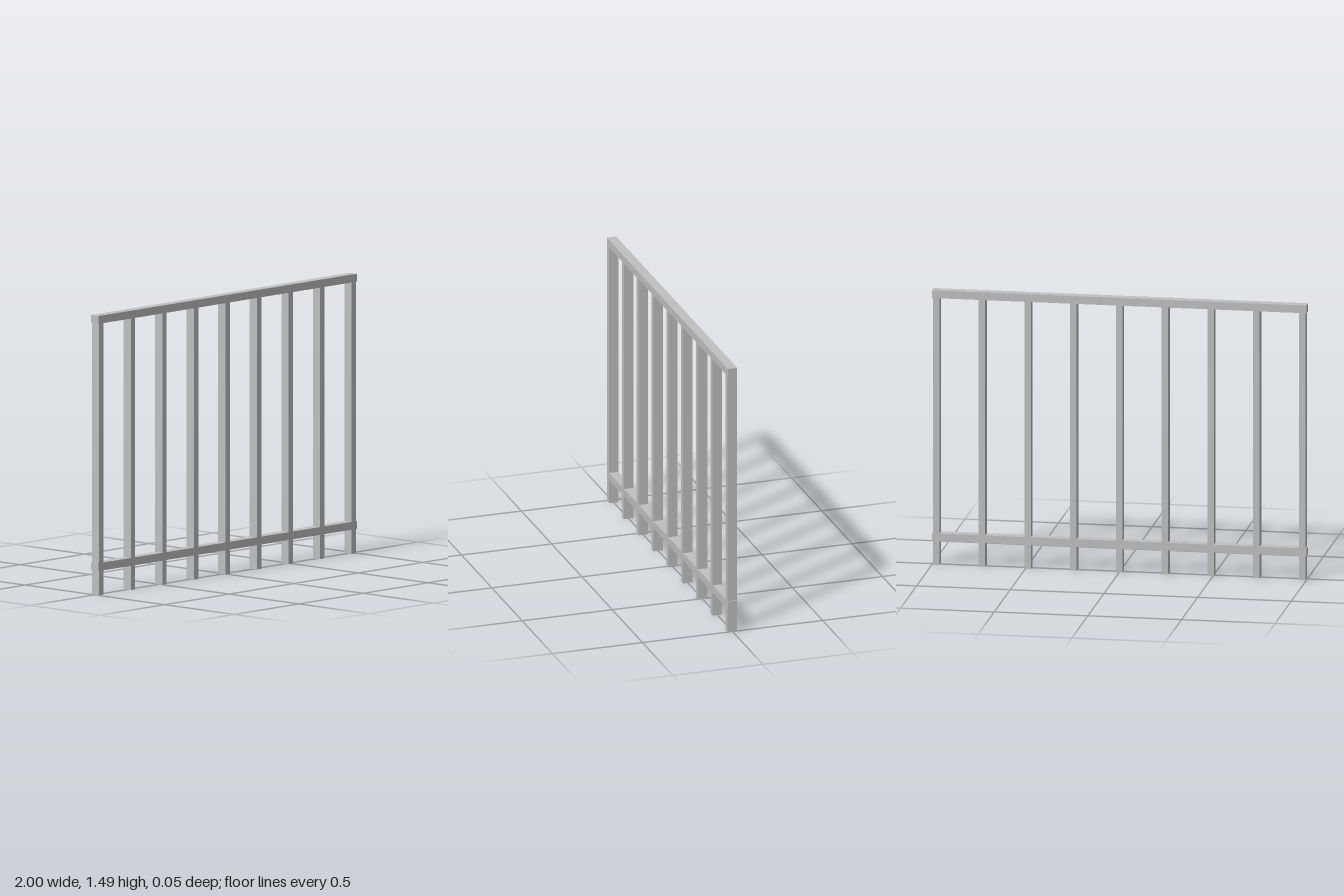
import * as THREE from 'three';

export function createModel() {
  const group = new THREE.Group();
  group.name = 'railing';
  const greyMetal = new THREE.MeshStandardMaterial({ color: 0xc0c0c0 });
  greyMetal.name = 'grey metal';

  const depth = 0.052;
  const railHeight = 0.042;
  const height = 1.487;

  // Square-edged bar resting on the given bottom height
  function addBar(name, width, barHeight, x, bottom) {
    const bar = new THREE.Mesh(new THREE.BoxGeometry(width, barHeight, depth), greyMetal);
    bar.name = name;
    bar.position.set(x, bottom + barHeight / 2, 0);
    group.add(bar);
  }

  // Horizontal rails
  addBar('topRail', 2, railHeight, 0, height - railHeight);
  addBar('bottomRail', 2, railHeight, 0, 0.129);

  // Nine evenly spaced uprights, standing below the bottom rail
  const count = 9;
  const outer = 0.977;
  for (let i = 0; i < count; i++) {
    const x = -outer + (2 * outer * i) / (count - 1);
    addBar(`upright${i + 1}`, 0.034, height - railHeight, x, 0);
  }
  return group;
}
